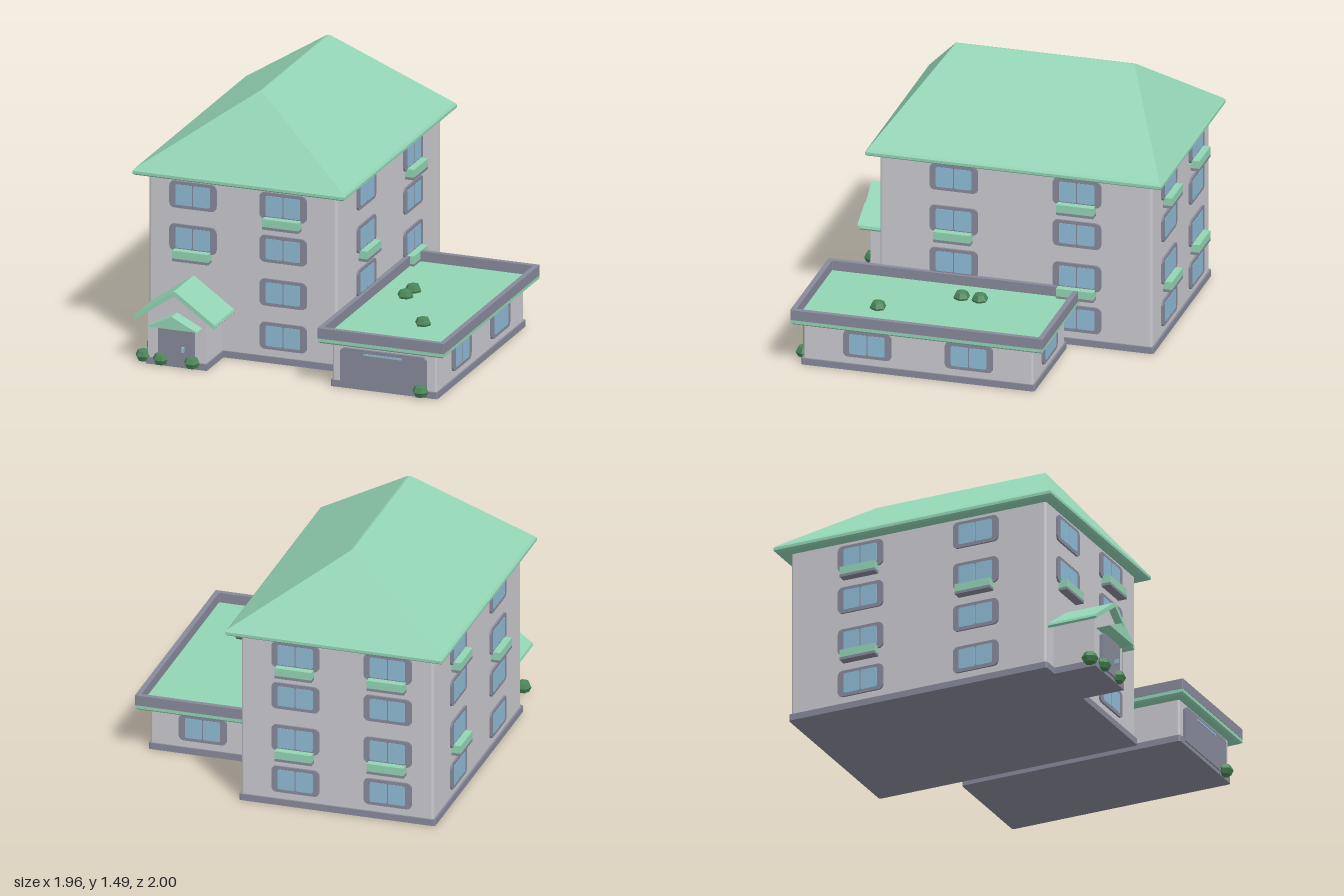
import * as THREE from 'three';

const mat = (name, color, side = THREE.FrontSide) => {
  const m = new THREE.MeshStandardMaterial({ color, side });
  m.name = name;
  return m;
};

export function createModel() {
  const wall = mat('wall grey', 0xcac9ce);
  const trim = mat('slate trim', 0x888a9a);
  const green = mat('mint green', 0x93d4b5);
  const glass = mat('window blue', 0x8fbbd6);
  const leaf = mat('leaf green', 0x4a8558);
  const model = new THREE.Group();
  model.name = 'house';

  const add = (name, geo, material, x = 0, y = 0, z = 0, parent = model) => {
    const m = new THREE.Mesh(geo, material);
    m.name = name;
    m.position.set(x, y, z);
    parent.add(m);
    return m;
  };
  const box = (name, material, x0, x1, y0, y1, z0, z1, parent) =>
    add(name, new THREE.BoxGeometry(x1 - x0, y1 - y0, z1 - z0), material,
      (x0 + x1) / 2, (y0 + y1) / 2, (z0 + z1) / 2, parent);

  // Rectangle with rounded corners, centred on the origin
  const roundRect = (w, h, r) => {
    const s = new THREE.Shape(), a = w / 2 - r, b = h / 2 - r;
    s.absarc(a, b, r, 0, Math.PI / 2);
    s.absarc(-a, b, r, Math.PI / 2, Math.PI);
    s.absarc(-a, -b, r, Math.PI, Math.PI * 1.5);
    s.absarc(a, -b, r, Math.PI * 1.5, Math.PI * 2);
    s.closePath();
    return s;
  };
  const extrude = (shape, depth) =>
    new THREE.ExtrudeGeometry(shape, { depth, bevelEnabled: false, curveSegments: 3 });
  const polygon = (pts) => new THREE.Shape(pts.map(([x, y]) => new THREE.Vector2(x, y)));

  // Upright block with softened vertical corners
  const block = (name, material, x0, x1, y0, y1, z0, z1, r = 0.012) =>
    add(name, extrude(roundRect(x1 - x0, z1 - z0, r), y1 - y0).rotateX(-Math.PI / 2),
      material, (x0 + x1) / 2, y0, (z0 + z1) / 2);

  // Closed skin through stacked rectangles [half width, half depth, height]
  const stackedRects = (rings) => {
    const pos = [];
    const corners = ([w, d, y]) => [[w, y, d], [w, y, -d], [-w, y, -d], [-w, y, d]]
      .map((p) => new THREE.Vector3(...p));
    const tri = (a, b, c) => {
      if (a.distanceTo(b) > 1e-6 && b.distanceTo(c) > 1e-6 && c.distanceTo(a) > 1e-6)
        for (const p of [a, b, c]) pos.push(p.x, p.y, p.z);
    };
    for (let i = 0; i + 1 < rings.length; i++) {
      const lo = corners(rings[i]), hi = corners(rings[i + 1]);
      for (let k = 0; k < 4; k++) {
        const n = (k + 1) % 4;
        tri(lo[k], lo[n], hi[n]);
        tri(lo[k], hi[n], hi[k]);
      }
    }
    const g = new THREE.BufferGeometry();
    g.setAttribute('position', new THREE.Float32BufferAttribute(pos, 3));
    g.computeVertexNormals();
    return g;
  };

  // Main building
  block('mainPlinth', trim, -0.918, 0.23, 0, 0.038, -0.935, 0.668);
  block('mainWalls', wall, -0.907, 0.22, 0.038, 1.03, -0.925, 0.658, 0.016);
  add('hipRoof', stackedRects([
    [0, 0.3, 1.025], [0.622, 0.848, 1.025], [0.635, 0.861, 1.034],
    [0.635, 0.861, 1.05], [0.625, 0.85, 1.063], [0.012, 0.522, 1.488], [0, 0.515, 1.492],
  ]), green, -0.345, 0, -0.138);

  // Side wing with parapet roof
  block('wingPlinth', trim, 0.277, 0.918, 0, 0.038, -0.447, 0.908);
  block('wingWalls', wall, 0.287, 0.908, 0.038, 0.265, -0.437, 0.898);
  add('wingRoof', stackedRects([
    [0, 0.3, 0.258], [0.365, 0.719, 0.258], [0.377, 0.731, 0.268], [0.377, 0.731, 0.29], [0, 0.3, 0.29],
  ]), green, 0.597, 0, 0.222);
  const rim = roundRect(0.758, 1.466, 0.004);
  rim.holes.push(roundRect(0.698, 1.406, 0.004));
  add('wingParapet', extrude(rim, 0.06).rotateX(-Math.PI / 2), trim, 0.597, 0.288, 0.222);

  // Windows: frame with two panes, and an optional planter under the sill
  const frameGeo = extrude(roundRect(0.28, 0.158, 0.03), 0.012);
  const paneGeo = extrude(roundRect(0.1, 0.12, 0.01), 0.004);
  const addWindow = (x, y, z, turn, planter) => {
    const g = new THREE.Group();
    g.name = 'window';
    g.position.set(x, y, z);
    g.rotation.y = turn;
    model.add(g);
    add('windowFrame', frameGeo, trim, 0, 0, -0.001, g);
    for (const s of [-1, 1]) add('windowPane', paneGeo, glass, s * 0.053, 0, 0.009, g);
    if (planter) {
      box('planter', green, -0.108, 0.108, -0.112, -0.066, 0, 0.053, g);
      box('planterBase', trim, -0.108, 0.108, -0.128, -0.112, 0, 0.053, g);
    }
  };
  const rows = [0.16, 0.415, 0.672, 0.925];
  const column = (x, z, turn, use, planters) => {
    for (const i of use) addWindow(x, rows[i], z, turn, planters.includes(i));
  };
  const q = Math.PI / 2, all = [0, 1, 2, 3];
  column(-0.64, 0.658, 0, [2, 3], [2]);
  column(-0.1, 0.658, 0, all, [3]);
  for (const [x, turn] of [[0.22, q], [-0.907, -q]]) {
    column(x, 0.225, turn, all, [2]);
    column(x, -0.49, turn, all, [1, 3]);
  }
  for (const x of [-0.64, -0.1]) column(x, -0.925, Math.PI, all, [1, 3]);
  for (const z of [0.525, -0.065]) addWindow(0.908, rows[0], z, q, false);
  addWindow(0.6, rows[0], -0.437, Math.PI, false);

  // Door panel with clipped upper corners
  const doorPanel = (w, h, c) => polygon([
    [-w / 2, 0], [w / 2, 0], [w / 2, h - c], [w / 2 - c, h], [c - w / 2, h], [-w / 2, h - c],
  ]);
  add('garageDoor', extrude(doorPanel(0.515, 0.215, 0.018), 0.02), trim, 0.595, 0.022, 0.895);
  box('garageDoorWindow', glass, 0.48, 0.71, 0.206, 0.217, 0.913, 0.919);

  // Entrance porch with gable roof, door and small canopy
  const px = -0.638;
  box('porchPlinth', trim, px - 0.182, px + 0.182, 0, 0.038, 0.65, 0.922);
  add('porchWalls', extrude(polygon([
    [-0.173, 0.038], [0.173, 0.038], [0.173, 0.305], [0, 0.43], [-0.173, 0.305],
  ]), 0.262), wall, px, 0, 0.65);
  add('porchRoof', extrude(polygon([
    [-0.245, 0.272], [-0.236, 0.262], [0, 0.428], [0.236, 0.262], [0.245, 0.272],
    [0.24, 0.288], [0.012, 0.45], [0, 0.455], [-0.012, 0.45], [-0.24, 0.288],
  ]), 0.305), green, px, 0, 0.652);
  add('doorCanopy', extrude(polygon([[-0.15, 0.245], [0.15, 0.245], [0, 0.32]]), 0.09),
    green, px, 0, 0.907);
  add('frontDoor', extrude(doorPanel(0.215, 0.215, 0.018), 0.025), trim, px, 0.022, 0.907);
  box('doorHandle', glass, -0.597, -0.586, 0.1, 0.128, 0.93, 0.955);

  // Faceted shrubs by the doors and on the wing roof
  const shrubGeo = new THREE.SphereGeometry(0.05, 6, 4).toNonIndexed();
  shrubGeo.computeVertexNormals();
  const shrubs = [
    [-0.843, 0.04, 0.9], [-0.73, 0.04, 0.925], [-0.545, 0.04, 0.925], [0.822, 0.04, 0.92],
    [0.425, 0.302, 0.015], [0.42, 0.302, 0.122], [0.685, 0.302, 0.53],
  ];
  for (const [x, y, z] of shrubs) add('shrub', shrubGeo, leaf, x, y, z).scale.set(0.96, 0.8, 0.96);

  return model;
}
